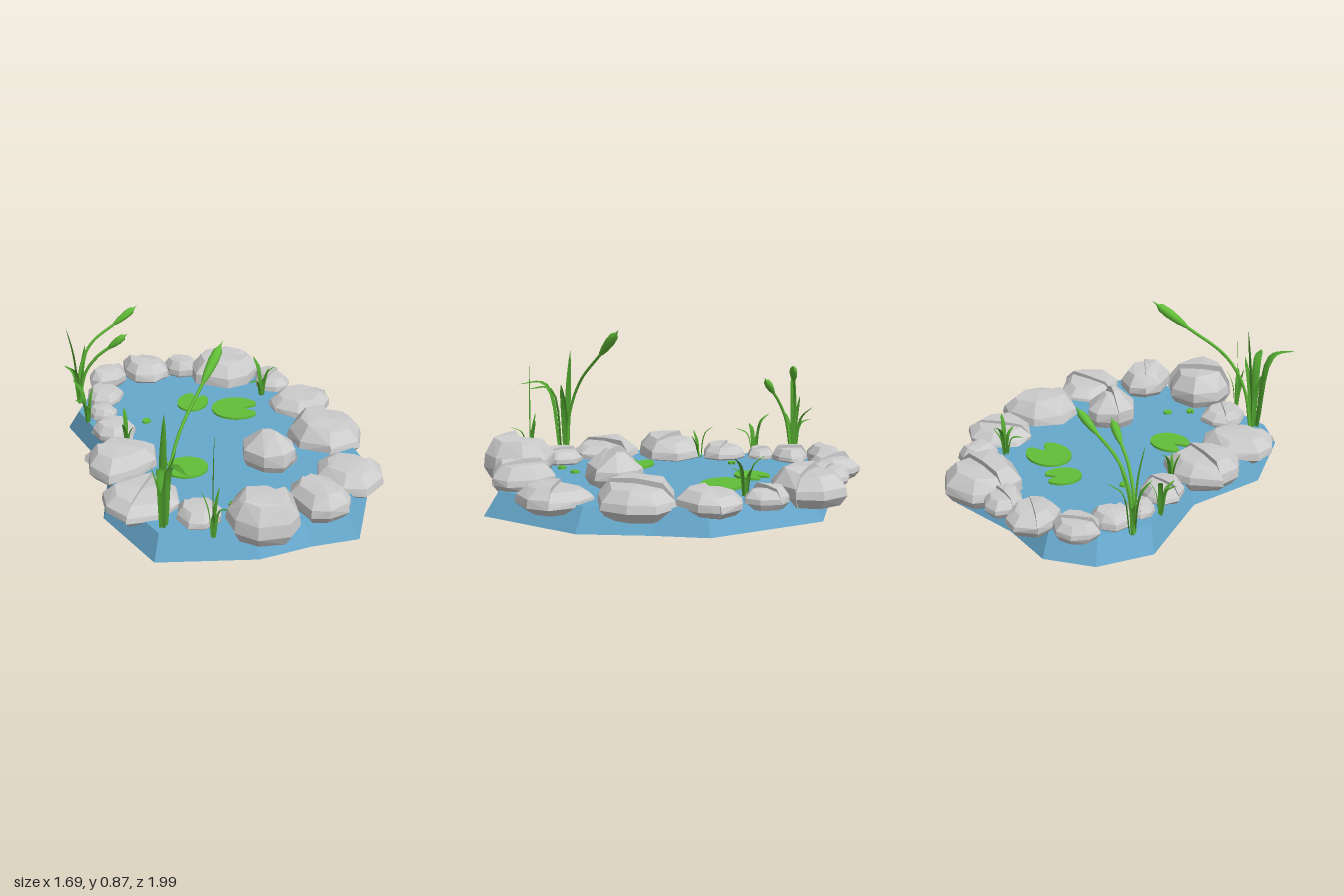
import * as THREE from 'three';
import { ConvexGeometry } from 'three/addons/geometries/ConvexGeometry.js';

const blue = new THREE.MeshStandardMaterial({ color: 0x66a8cc, flatShading: true });
const stone = new THREE.MeshStandardMaterial({ color: 0xcccccc, flatShading: true });
const green = new THREE.MeshStandardMaterial({ color: 0x62be38 });
const leafGreen = new THREE.MeshStandardMaterial({ color: 0x4fa02e, side: THREE.DoubleSide });
const V = (x, y, z) => new THREE.Vector3(x, y, z);
const WATER = 0.12;

let seed = 7;
function rand() {
  seed = (seed * 16807) % 2147483647;
  return seed / 2147483647;
}
const vary = (a) => 1 + (rand() - 0.5) * 2 * a;

function add(parent, name, geometry, material) {
  const mesh = new THREE.Mesh(geometry, material);
  mesh.name = name;
  parent.add(mesh);
  return mesh;
}

// Irregular slab whose walls lean in towards the water surface
function poolGeometry() {
  const outline = [
    [-0.12, -0.97], [0.14, -0.96], [0.36, -0.76], [0.71, -0.56], [0.82, 0.06], [0.70, 0.30], [0.56, 0.64],
    [0.10, 0.99], [-0.12, 0.88], [-0.38, 0.79], [-0.775, 0.48], [-0.74, 0.03], [-0.46, -0.30], [-0.36, -0.80],
  ];
  const shape = new THREE.Shape(outline.map(([x, z]) => new THREE.Vector2(x, -z)));
  const geo = new THREE.ExtrudeGeometry(shape, { depth: WATER, bevelEnabled: false });
  geo.rotateX(-Math.PI / 2);
  const p = geo.attributes.position;
  for (let i = 0; i < p.count; i++) {
    if (p.getY(i) > WATER / 2) p.setXYZ(i, p.getX(i) * 0.92, WATER, p.getZ(i) * 0.92);
  }
  geo.computeVertexNormals();
  return geo;
}

// Faceted boulder in two halves of unequal height, so a crack runs across it
function addRock(parent, name, [x, z, rx, rz, y0, y1, peak = 0.66]) {
  const rock = new THREE.Group();
  rock.name = name;
  const split = rand() * Math.PI;
  const h = y1 - y0;
  const rings = [[0.78, 0], [0.99, 0.28], [0.95, 0.58], [peak, 0.95]];
  for (let half = 0; half < 2; half++) {
    const points = [];
    const lift = half ? 0.86 : 1;
    for (let i = 0; i <= 4; i++) {
      const a = split + half * Math.PI + (i * Math.PI) / 4 + (i % 4 ? (rand() - 0.5) * 0.3 : 0);
      const reach = vary(0.06);
      for (const [s, t] of rings) {
        const r = s * reach * vary(0.04);
        points.push(V(Math.cos(a) * rx * r, h * t * (t > 0.5 ? lift * vary(0.06) : 1), Math.sin(a) * rz * r));
      }
    }
    points.push(V(0, h * lift, 0));
    add(rock, half ? 'lowerHalf' : 'upperHalf', new ConvexGeometry(points), stone);
  }
  rock.position.set(x, y0, z);
  parent.add(rock);
}

// Folded blade that tapers to a point along a curved spine
function bladeGeometry(base, mid, tip, width) {
  const curve = new THREE.CatmullRomCurve3([base, mid, tip]);
  const N = 10, pos = [], index = [];
  const lean = V(tip.x - base.x, 0, tip.z - base.z);
  const side = V(-lean.z, 0, lean.x);
  if (side.length() < 0.001) side.set(1, 0, 0);
  side.normalize();
  for (let i = 0; i <= N; i++) {
    const t = i / N;
    const c = curve.getPoint(t);
    const w = width * (0.45 + 1.5 * t) * Math.pow(1 - t, 0.8) * 0.9;
    const keel = side.clone().cross(curve.getTangent(t)).multiplyScalar(w * 0.4);
    for (const k of [-1, 0, 1]) {
      const q = c.clone().addScaledVector(side, k * w);
      if (k === 0) q.add(keel);
      pos.push(q.x, q.y, q.z);
    }
    if (i === N) break;
    for (let k = 0; k < 2; k++) {
      const a = i * 3 + k;
      index.push(a, a + 1, a + 3, a + 1, a + 4, a + 3);
    }
  }
  const geo = new THREE.BufferGeometry();
  geo.setAttribute('position', new THREE.Float32BufferAttribute(pos, 3));
  geo.setIndex(index);
  geo.computeVertexNormals();
  return geo;
}

// Clump of blades: each is [tip x, y, z, half width, height of bend]
function addClump(parent, name, [bx, bz], blades) {
  const clump = new THREE.Group();
  clump.name = name;
  for (const [x, y, z, w, bend = 0.6] of blades) {
    const base = V(bx + (x - bx) * 0.12, WATER - 0.01, bz + (z - bz) * 0.12);
    const mid = V(bx + (x - bx) * 0.4, WATER + (y - WATER) * bend, bz + (z - bz) * 0.4);
    add(clump, 'blade', bladeGeometry(base, mid, V(x, y, z), w), leafGreen);
  }
  parent.add(clump);
}

// Bulrush: bent stem, spindle-shaped head and a short spike
function addBulrush(parent, path, headLength, headRadius) {
  const rush = new THREE.Group();
  rush.name = 'bulrush';
  const curve = new THREE.CatmullRomCurve3(path.map((p) => V(...p)));
  add(rush, 'stem', new THREE.TubeGeometry(curve, 24, 0.008, 6), green);
  const profile = [[0, 0], [0.45, 0.08], [0.8, 0.3], [1, 0.6], [0.85, 0.84], [0.3, 0.95], [0.15, 1.0], [0, 1.12]];
  const head = add(rush, 'head', new THREE.LatheGeometry(
    profile.map(([r, t]) => new THREE.Vector2(r * headRadius, t * headLength)), 10), green);
  const dir = curve.getTangent(1);
  head.quaternion.setFromUnitVectors(V(0, 1, 0), dir);
  head.position.copy(curve.getPoint(1)).addScaledVector(dir, -0.02);
  parent.add(rush);
}

// Notched floating leaf
function addPad(parent, name, x, z, r, notch) {
  const shape = new THREE.Shape();
  const n = 28, gap = 0.32;
  shape.moveTo(r * 0.3, 0);
  for (let i = 0; i <= n; i++) {
    const a = gap + (i / n) * (Math.PI * 2 - gap * 2);
    const s = r * (0.98 + 0.08 * Math.cos(a * 2)) * (i === 0 || i === n ? 0.88 : 1);
    shape.lineTo(Math.cos(a) * s, Math.sin(a) * s);
  }
  const geo = new THREE.ExtrudeGeometry(shape, { depth: 0.012, bevelEnabled: false });
  geo.rotateX(-Math.PI / 2);
  const pad = add(parent, name, geo, green);
  pad.position.set(x, WATER + 0.003, z);
  pad.rotation.y = notch;
}

export function createModel() {
  const model = new THREE.Group();
  model.name = 'gardenPond';
  add(model, 'pool', poolGeometry(), blue);

  // Stone border: x, z, radius x, radius z, bottom, top
  const rocks = new THREE.Group();
  rocks.name = 'stoneBorder';
  model.add(rocks);
  [
    [-0.01, -0.90, 0.115, 0.105, 0.11, 0.22], [0.22, -0.84, 0.14, 0.15, 0.10, 0.22],
    [0.40, -0.73, 0.10, 0.11, 0.10, 0.21], [0.57, -0.54, 0.205, 0.20, 0.07, 0.25],
    [0.69, -0.27, 0.10, 0.12, 0.09, 0.20], [0.65, 0.0, 0.185, 0.17, 0.08, 0.20],
    [0.53, 0.33, 0.21, 0.20, 0.06, 0.24], [0.34, 0.68, 0.17, 0.195, 0.07, 0.20],
    [0.03, 0.78, 0.145, 0.17, 0.10, 0.26], [-0.30, 0.73, 0.175, 0.195, 0.10, 0.32],
    [-0.48, 0.46, 0.12, 0.125, 0.10, 0.20], [-0.61, 0.18, 0.20, 0.19, 0.08, 0.21],
    [-0.48, -0.16, 0.20, 0.175, 0.08, 0.24], [-0.325, -0.43, 0.115, 0.125, 0.10, 0.20],
    [-0.25, -0.62, 0.08, 0.08, 0.10, 0.18], [-0.145, -0.75, 0.11, 0.10, 0.10, 0.20],
  ].forEach((r) => addRock(rocks, 'rock', r));
  addRock(model, 'middleRock', [0.12, 0.32, 0.14, 0.145, 0.10, 0.315, 0.3]);

  // Lily pads and small floating leaves
  addPad(model, 'lilyPad', 0.20, -0.39, 0.092, 0.5);
  addPad(model, 'lilyPad', 0.335, -0.18, 0.125, -0.75);
  addPad(model, 'lilyPad', -0.255, 0.10, 0.105, 2.6);
  [[-0.12, -0.40], [-0.29, 0.50], [-0.17, 0.46]].forEach(([x, z], i) => addPad(model, 'smallLeaf', x, z, 0.023, i * 2));

  // Bulrushes
  addBulrush(model, [[-0.64, 0.12, 0.39], [-0.6, 0.36, 0.38], [-0.5, 0.55, 0.345], [-0.29, 0.73, 0.28]], 0.22, 0.026);
  addBulrush(model, [[-0.27, 0.12, -0.83], [-0.24, 0.35, -0.82], [-0.18, 0.48, -0.79], [-0.06, 0.58, -0.73]], 0.155, 0.021);
  addBulrush(model, [[-0.27, 0.12, -0.81], [-0.25, 0.32, -0.77], [-0.21, 0.43, -0.71], [-0.16, 0.50, -0.65]], 0.135, 0.021);

  // Leaf clumps
  addClump(model, 'frontLeftReeds', [-0.65, 0.39], [
    [-0.84, 0.50, 0.62, 0.034, 1.02], [-0.61, 0.71, 0.37, 0.034, 0.5], [-0.66, 0.50, 0.60, 0.034, 0.98],
    [-0.59, 0.53, 0.43, 0.03, 0.6], [-0.69, 0.45, 0.36, 0.028, 0.6],
  ]);
  addClump(model, 'frontLeftGrass', [-0.53, 0.62], [
    [-0.52, 0.67, 0.62, 0.006], [-0.47, 0.36, 0.60, 0.015], [-0.57, 0.38, 0.58, 0.015],
    [-0.52, 0.32, 0.73, 0.018, 0.8], [-0.56, 0.28, 0.66, 0.015],
  ]);
  addClump(model, 'backLeftReeds', [-0.26, -0.82], [
    [-0.32, 0.59, -0.83, 0.022], [-0.20, 0.46, -0.83, 0.02], [-0.15, 0.40, -0.88, 0.02, 0.75],
    [-0.28, 0.31, -0.93, 0.02, 0.9], [-0.34, 0.38, -0.77, 0.02, 0.75],
  ]);
  addClump(model, 'backLeftGrass', [-0.35, -0.62], [
    [-0.43, 0.28, -0.62, 0.02, 0.8], [-0.37, 0.34, -0.72, 0.02, 0.8], [-0.40, 0.26, -0.53, 0.018, 0.8], [-0.30, 0.30, -0.64, 0.015],
  ]);
  addClump(model, 'leftGrass', [-0.34, -0.29], [
    [-0.30, 0.30, -0.36, 0.018, 0.75], [-0.38, 0.27, -0.27, 0.018], [-0.33, 0.25, -0.24, 0.015],
  ]);
  addClump(model, 'rightGrass', [0.56, -0.21], [
    [0.46, 0.23, -0.21, 0.018, 0.9], [0.58, 0.32, -0.31, 0.018, 0.75], [0.60, 0.32, -0.14, 0.018, 0.75],
    [0.53, 0.26, -0.15, 0.016, 0.8], [0.62, 0.27, -0.22, 0.016],
  ]);
  return model;
}
